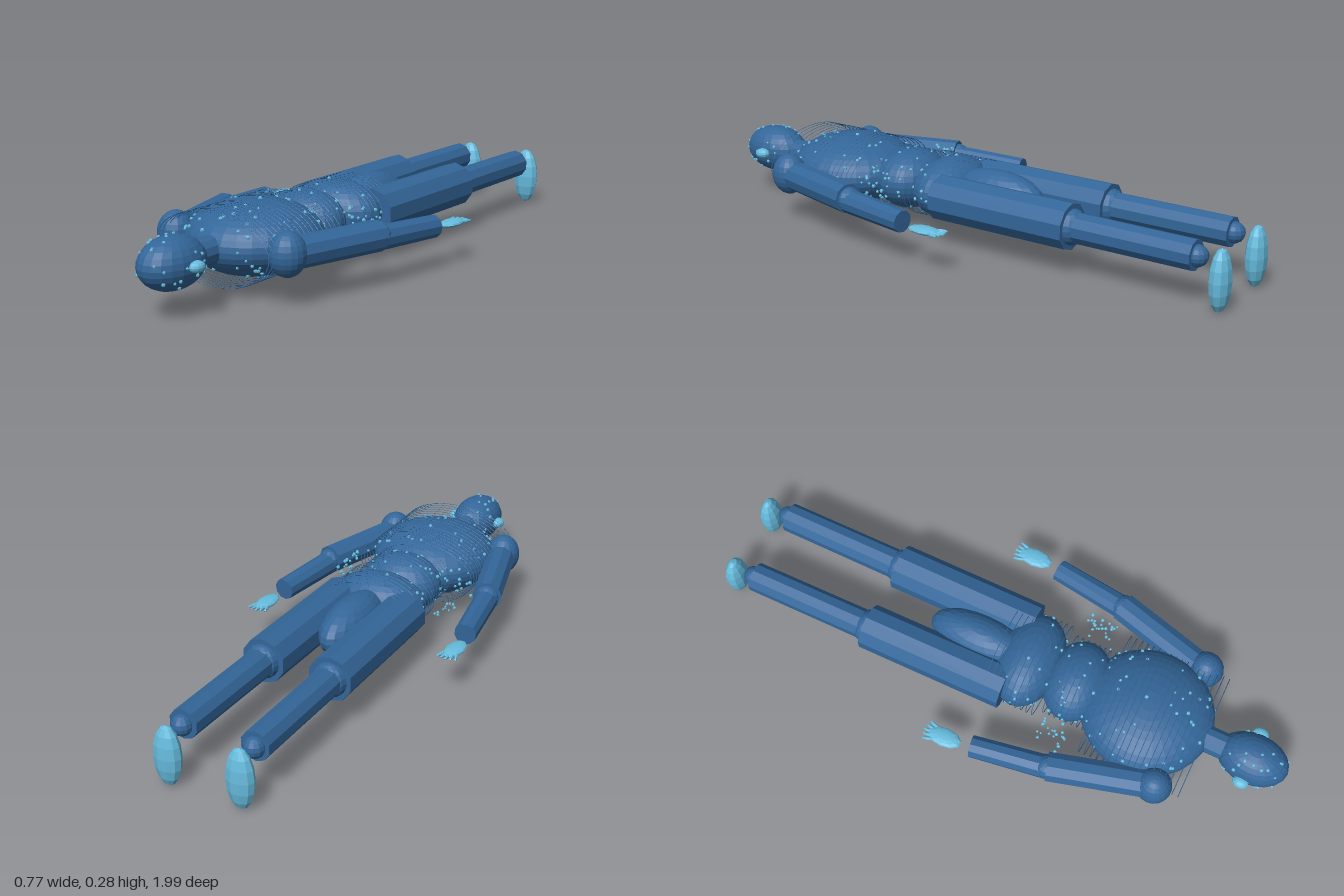
import * as THREE from 'three';

export function createModel() {
  const model = new THREE.Group();
  const Y = 0.16; // height of the body axis
  const body = new THREE.MeshStandardMaterial({ color: 0x336699, flatShading: true });
  const light = new THREE.MeshStandardMaterial({ color: 0x66bbdd, flatShading: true });

  let seed = 7;
  const rand = () => {
    seed = (seed * 16807) % 2147483647;
    return seed / 2147483647;
  };

  const add = (name, geometry, material, parent = model) => {
    const mesh = new THREE.Mesh(geometry, material);
    mesh.name = name;
    parent.add(mesh);
    return mesh;
  };

  const ellipsoid = (name, pos, size, material = body, w = 24, h = 16, parent = model) => {
    const mesh = add(name, new THREE.SphereGeometry(1, w, h), material, parent);
    mesh.position.set(...pos);
    mesh.scale.set(...size);
    return mesh;
  };

  // Cylinder running from point a to point b
  const limb = (name, a, b, ra, rb, sides, parent = model) => {
    const from = new THREE.Vector3(...a), to = new THREE.Vector3(...b);
    const dir = to.clone().sub(from);
    const mesh = add(name, new THREE.CylinderGeometry(rb, ra, dir.length(), sides), body, parent);
    mesh.position.copy(from).add(to).multiplyScalar(0.5);
    mesh.quaternion.setFromUnitVectors(new THREE.Vector3(0, 1, 0), dir.normalize());
    return mesh;
  };

  // Head, ears and neck
  ellipsoid('head', [0, Y, 0.87], [0.084, 0.081, 0.12], body, 20, 14);
  for (const s of [1, -1]) ellipsoid('ear', [s * 0.088, Y, 0.862], [0.022, 0.018, 0.028], light, 12, 8);
  limb('neck', [0, Y, 0.66], [0, Y, 0.79], 0.045, 0.045, 12);

  // Trunk
  ellipsoid('chest', [0, Y, 0.5], [0.213, 0.114, 0.222], body, 28, 20);
  ellipsoid('waist', [0, Y, 0.25], [0.14, 0.1, 0.11]);
  ellipsoid('hips', [0, Y, 0.08], [0.165, 0.1, 0.11]);
  ellipsoid('pelvis', [0, Y, -0.1], [0.08, 0.088, 0.18], body, 20, 14);

  // Thin hoops around the trunk: start z, end z, count, half width, half height
  const hoopSets = [
    ['chestHoop', 0.35, 0.7, 18, 0.216, 0.113],
    ['waistHoop', 0.19, 0.33, 8, 0.142, 0.1],
    ['hipHoop', -0.02, 0.16, 10, 0.166, 0.102],
  ];
  for (const [name, z0, z1, count, rx, ry] of hoopSets) {
    const geometry = new THREE.TorusGeometry(1, 0.008, 4, 40);
    for (let i = 0; i < count; i++) {
      const hoop = add(name, geometry, body);
      hoop.position.set(0, Y, z0 + (z1 - z0) * i / (count - 1));
      hoop.scale.set(rx, ry, 0.15);
    }
  }

  // Small beads scattered over the head and trunk
  const beads = new THREE.Group();
  beads.name = 'beads';
  model.add(beads);
  const beadGeometry = new THREE.SphereGeometry(1, 6, 4);
  const bead = (x, y, z) => {
    const mesh = add('bead', beadGeometry, light, beads);
    mesh.position.set(x, y, z);
    mesh.scale.setScalar(0.004 + rand() * 0.003);
  };
  const scatter = (count, z, rx, ry, rz) => {
    for (let i = 0; i < count; i++) {
      const a = rand() * Math.PI * 2, u = rand() * 1.8 - 0.9, r = Math.sqrt(1 - u * u);
      bead(Math.cos(a) * r * rx, Y + Math.sin(a) * r * ry, z + u * rz);
    }
  };
  scatter(40, 0.87, 0.084, 0.081, 0.12);
  scatter(120, 0.5, 0.213, 0.114, 0.222);
  scatter(50, 0.25, 0.14, 0.1, 0.11);
  scatter(50, 0.08, 0.165, 0.1, 0.11);
  // Loose beads at both sides of the waist
  for (let i = 0; i < 50; i++) {
    const a = (rand() - 0.5) * 1.6, s = i % 2 ? 1 : -1;
    bead(s * Math.cos(a) * (0.2 + rand() * 0.05), Y + Math.sin(a) * 0.1, 0.2 + rand() * 0.1);
  }

  for (const s of [1, -1]) {
    // Arm
    const arm = new THREE.Group();
    arm.name = s > 0 ? 'leftArm' : 'rightArm';
    model.add(arm);
    ellipsoid('shoulder', [s * 0.217, Y + 0.002, 0.615], [0.058, 0.07, 0.06], body, 18, 12, arm);
    limb('upperArm', [s * 0.217, Y, 0.6], [s * 0.305, Y, 0.28], 0.05, 0.05, 10, arm);
    ellipsoid('elbow', [s * 0.305, Y - 0.003, 0.28], [0.042, 0.042, 0.042], body, 12, 8, arm);
    limb('forearm', [s * 0.305, 0.152, 0.28], [s * 0.343, 0.142, 0.028], 0.04, 0.037, 10, arm);

    // Hand with five fanned fingers
    ellipsoid('palm', [s * 0.352, 0.135, -0.065], [0.032, 0.012, 0.06], light, 10, 8, arm);
    for (let i = -2; i <= 2; i++) {
      const finger = ellipsoid('finger', [s * 0.352 + i * 0.0125, 0.135, -0.118 + Math.abs(i) * 0.004],
        [0.006, 0.006, 0.026], light, 6, 6, arm);
      finger.rotation.y = -i * 0.15;
    }

    // Leg
    const leg = new THREE.Group();
    leg.name = s > 0 ? 'leftLeg' : 'rightLeg';
    model.add(leg);
    limb('thigh', [s * 0.117, Y, 0.045], [s * 0.119, Y, -0.46], 0.076, 0.076, 10, leg);
    ellipsoid('knee', [s * 0.12, Y, -0.46], [0.058, 0.058, 0.045], body, 14, 10, leg);
    limb('shin', [s * 0.12, Y, -0.45], [s * 0.122, Y, -0.885], 0.05, 0.049, 10, leg);
    ellipsoid('ankle', [s * 0.123, Y, -0.89], [0.034, 0.034, 0.034], body, 12, 8, leg);
    ellipsoid('foot', [s * 0.123, 0.1, -0.966], [0.047, 0.1, 0.033], light, 10, 8, leg);
  }

  return model;
}
